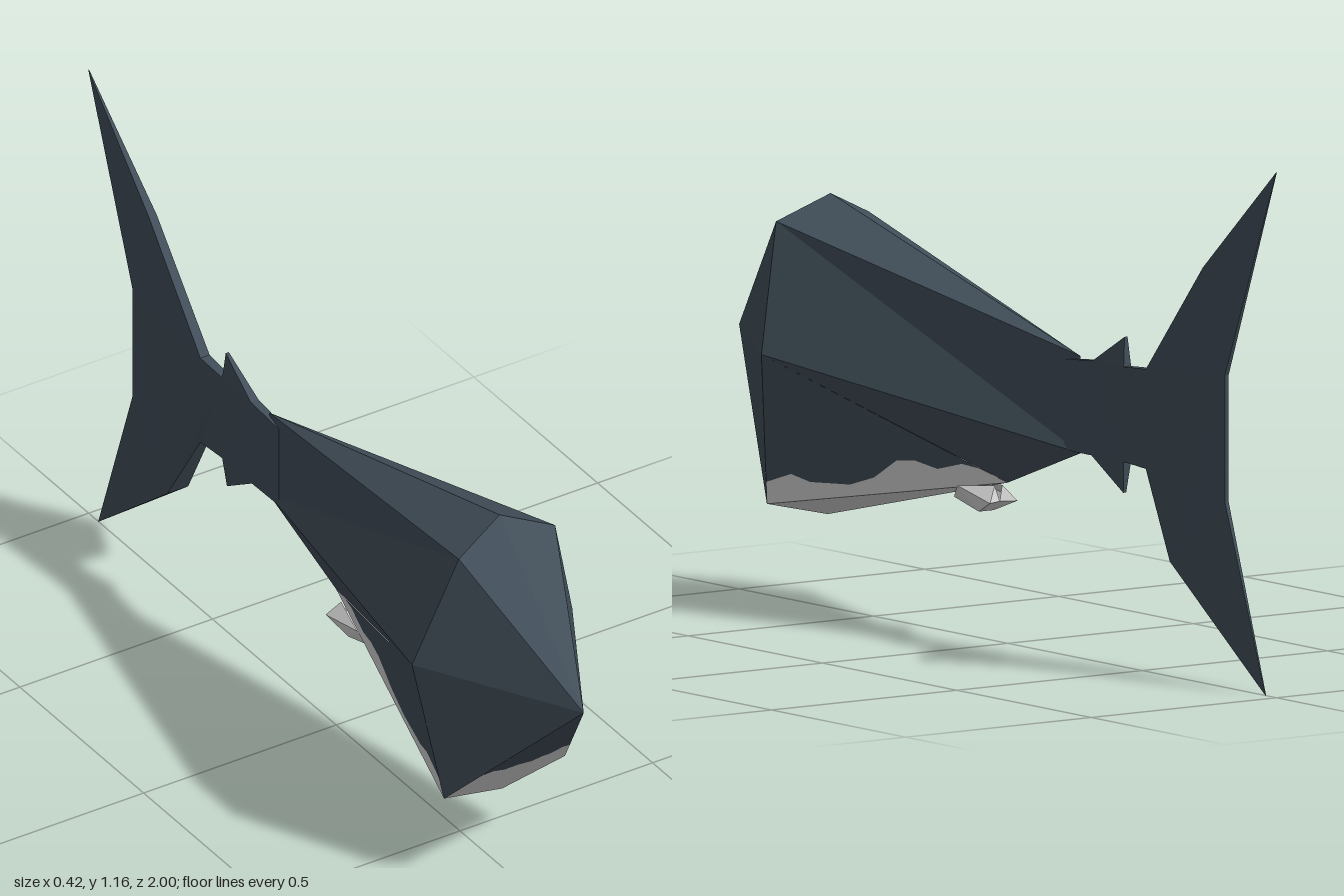
import * as THREE from 'three';

const slate = new THREE.MeshStandardMaterial({ color: 0x414e59, side: THREE.DoubleSide });
slate.name = 'slate skin';
const pale = new THREE.MeshStandardMaterial({ color: 0xd8d8d8, side: THREE.DoubleSide });
pale.name = 'pale belly';

const v = (x, y, z) => new THREE.Vector3(x, y, z);

// Flat-shaded mesh from a list of triangles
function meshOf(name, tris, material) {
  const geo = new THREE.BufferGeometry().setFromPoints(tris.flat());
  geo.computeVertexNormals();
  const mesh = new THREE.Mesh(geo, material);
  mesh.name = name;
  return mesh;
}

// Wind a triangle so it faces away from a point inside the part
function outward([a, b, c], inside) {
  const n = b.clone().sub(a).cross(c.clone().sub(a));
  return n.dot(a.clone().sub(inside)) < 0 ? [a, c, b] : [a, b, c];
}

const mirrored = (tris) => tris.map(([a, b, c]) =>
  [a, c, b].map((p) => v(-p.x, p.y, p.z)));

// Cut a polygon, drawn flat on two axes, into triangles lying on a facet's plane
function patch(corners, u, w, outline) {
  const plane = new THREE.Plane().setFromCoplanarPoints(...corners);
  const missing = ['x', 'y', 'z'].find((k) => k !== u && k !== w);
  const flat = outline.map(([a, b]) => new THREE.Vector2(a, b));
  const pts = outline.map(([a, b]) => {
    const p = v(0, 0, 0);
    p[u] = a;
    p[w] = b;
    p[missing] = -plane.distanceToPoint(p) / plane.normal[missing];
    return p;
  });
  return THREE.ShapeUtils.triangulateShape(flat, []).map((f) => f.map((i) => pts[i]));
}

function makeBody() {
  const group = new THREE.Group();
  group.name = 'body';
  const inside = v(0, 0.55, 0.2);
  const nose = v(0, 0.585, 1), crown = v(0, 0.915, 0.66), shoulder = v(0.125, 0.86, 0.69);
  const side = v(0.208, 0.58, 0.63), jaw = v(0.157, 0.24, 0.68), chin = v(0, 0.205, 0.67);
  const belly = v(0, 0.355, 0), rearTop = v(0, 0.667, -0.27), rearLow = v(0, 0.452, -0.27);

  // Scalloped colour borders on the flank (z, y) and under the nose (x, y)
  const flankEdge = [[0.6726, 0.29], [0.6, 0.315], [0.55, 0.302], [0.44, 0.307], [0.37, 0.33],
    [0.3, 0.375], [0.25, 0.38], [0.19, 0.367], [0.12, 0.385], [0.07, 0.379]];
  const noseEdge = [[0.116, 0.33], [0.09, 0.341], [0.06, 0.333], [0.03, 0.343], [0, 0.343]];
  const zy = (p) => [p.z, p.y], xy = (p) => [p.x, p.y];
  const flank = [side, jaw, belly], underNose = [nose, jaw, chin];

  const dark = [
    [nose, crown, shoulder], [nose, shoulder, side], [nose, side, jaw],
    [crown, shoulder, rearTop], [shoulder, side, rearLow], [shoulder, rearLow, rearTop],
    [side, belly, rearLow],
    ...patch(flank, 'z', 'y', [zy(side), ...flankEdge]),
    ...patch(underNose, 'x', 'y', [xy(nose), ...noseEdge]),
  ];
  const light = [
    [jaw, chin, belly],
    ...patch(flank, 'z', 'y', [zy(jaw), ...flankEdge, zy(belly)]),
    ...patch(underNose, 'x', 'y', [xy(jaw), ...noseEdge, xy(chin)]),
  ];
  for (const [name, tris, mat] of [['upperBody', dark, slate], ['underside', light, pale]]) {
    const half = tris.map((t) => outward(t, inside));
    group.add(meshOf(name, [...half, ...mirrored(half)], mat));
  }
  return group;
}

// Small pale fin with two rear tips beneath the belly
function makeBellyFin() {
  const front = v(0, 0.3, 0.2), keel = v(0.02, 0.283, 0.08), tip = v(0.037, 0.31, 0.015);
  const root = v(0.01, 0.345, 0.035), keelR = v(-0.02, 0.283, 0.08);
  const upper = v(0.035, 0.335, 0.14), notch = v(0, 0.31, 0.03);
  const inside = v(0, 0.315, 0.08);
  const half = [[front, keel, upper], [keel, tip, upper], [tip, root, upper],
    [keel, notch, tip], [tip, notch, root]].map((t) => outward(t, inside));
  const middle = [[front, keelR, keel], [keelR, notch, keel]].map((t) => outward(t, inside));
  return meshOf('bellyFin', [...half, ...mirrored(half), ...middle], pale);
}

// Stalk, finlets and crescent tail fin: outline of [z, y, half thickness]
function makeTail() {
  const outline = [
    [-0.22, 0.655, 0.008], [-0.33, 0.665, 0.01], [-0.44, 0.73, 0.004], [-0.445, 0.665, 0.01],
    [-0.53, 0.67, 0.012], [-0.74, 0.92, 0.01], [-1, 1.16, 0.001], [-0.815, 0.69, 0.005],
    [-0.815, 0.41, 0.005], [-0.96, 0, 0.001], [-0.64, 0.26, 0.027], [-0.53, 0.45, 0.012],
    [-0.445, 0.455, 0.01], [-0.435, 0.385, 0.004], [-0.325, 0.455, 0.01], [-0.22, 0.455, 0.008],
  ];
  const flat = outline.map(([z, y]) => new THREE.Vector2(z, y));
  const left = outline.map(([z, y, t]) => v(t, y, z));
  const right = outline.map(([z, y, t]) => v(-t, y, z));
  const face = THREE.ShapeUtils.triangulateShape(flat, [])
    .map((f) => outward(f.map((i) => left[i]), v(-1, 0.5, -0.6)));
  const rim = left.flatMap((a, i) => {
    const j = (i + 1) % left.length;
    return [[a, left[j], right[j]], [a, right[j], right[i]]];
  });
  // Orient the rim from the outline's turning direction
  if (!THREE.ShapeUtils.isClockWise(flat)) rim.forEach((t) => t.reverse());
  return meshOf('tail', [...face, ...mirrored(face), ...rim], slate);
}

export function createModel() {
  const model = new THREE.Group();
  model.name = 'fish';
  model.add(makeBody(), makeBellyFin(), makeTail());
  return model;
}
